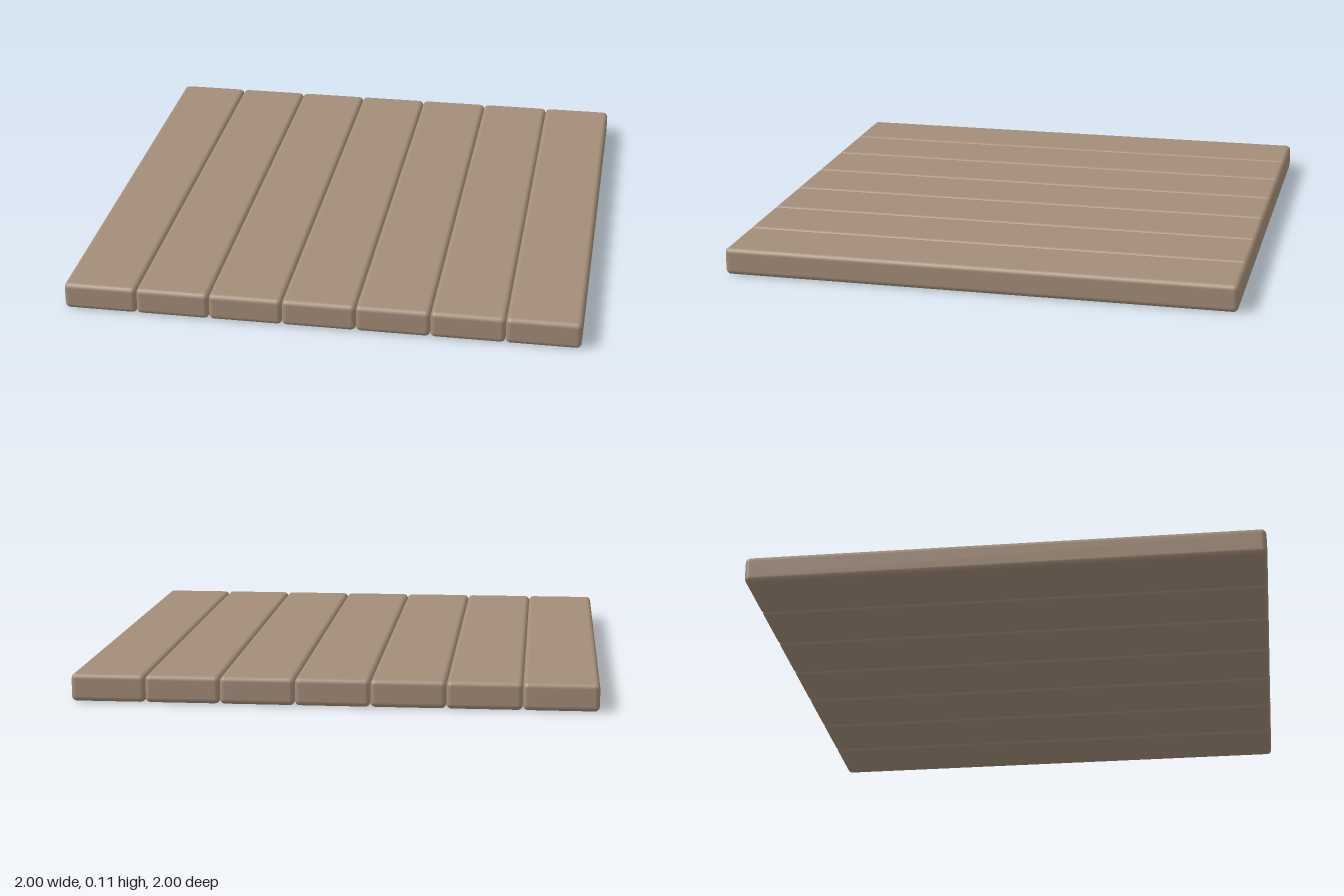
import * as THREE from 'three';
import { RoundedBoxGeometry } from 'three/addons/geometries/RoundedBoxGeometry.js';

const PLANKS = 7;
const SIZE = 2;
const THICKNESS = 0.107;
const EDGE = 0.02;

export function createModel() {
  const model = new THREE.Group();
  model.name = 'plankFloor';

  const wood = new THREE.MeshStandardMaterial({ color: 0xa38d79 });

  // Identical planks with rounded edges, laid side by side along x
  const width = SIZE / PLANKS;
  const geometry = new RoundedBoxGeometry(width, THICKNESS, SIZE, 3, EDGE);
  for (let i = 0; i < PLANKS; i++) {
    const plank = new THREE.Mesh(geometry, wood);
    plank.name = `plank${i + 1}`;
    plank.position.set((i + 0.5) * width - SIZE / 2, THICKNESS / 2, 0);
    model.add(plank);
  }
  return model;
}
